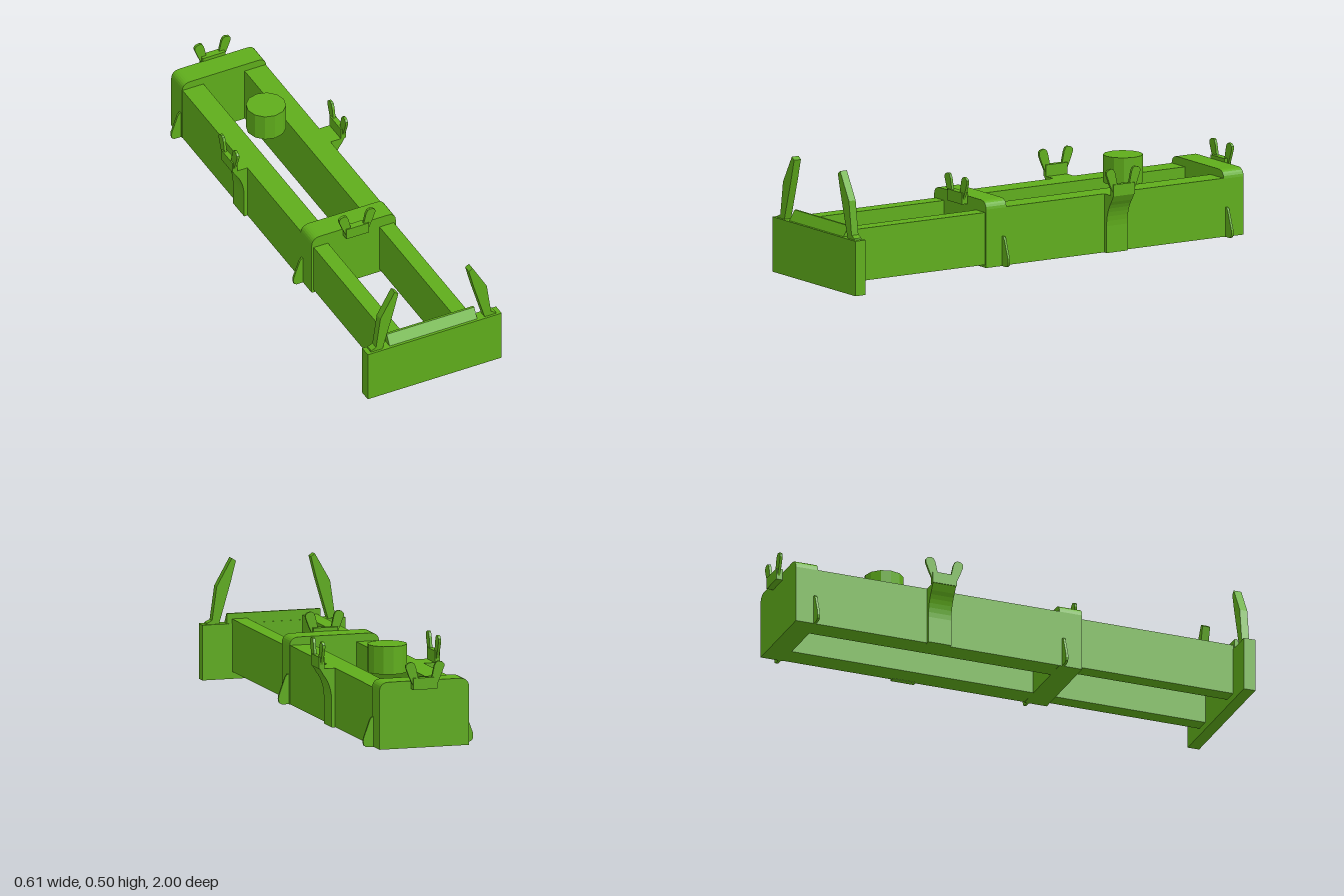
import * as THREE from 'three';

const material = new THREE.MeshStandardMaterial({ color: 0x5fad1b, flatShading: true });

function add(parent, name, geometry) {
  const mesh = new THREE.Mesh(geometry, material);
  mesh.name = name;
  parent.add(mesh);
  return mesh;
}

// Box given by its min and max on each axis
function block(parent, name, x0, x1, y0, y1, z0, z1) {
  const g = new THREE.BoxGeometry(x1 - x0, y1 - y0, z1 - z0);
  g.translate((x0 + x1) / 2, (y0 + y1) / 2, (z0 + z1) / 2);
  return add(parent, name, g);
}

// Outline in the x-y plane, extruded from z0 to z1
function slab(parent, name, shape, z0, z1) {
  const g = new THREE.ExtrudeGeometry(shape, { depth: z1 - z0, bevelEnabled: false, curveSegments: 6 });
  g.translate(0, 0, z0);
  return add(parent, name, g);
}

// Outline from points, optionally mirrored in x
function outline(points, side = 1) {
  return new THREE.Shape(points.map(([x, y]) => new THREE.Vector2(x * side, y)));
}

// Mounting block with two splayed prongs, facing +z
function fork(name, depth) {
  const group = new THREE.Group();
  group.name = name;
  block(group, 'forkBlock', -0.052, 0.052, 0.262, 0.31, 0, depth);
  const prong = [[0.022, 0.275], [0.05, 0.275], [0.068, 0.315], [0.082, 0.352], [0.082, 0.363],
    [0.074, 0.372], [0.058, 0.376], [0.047, 0.371], [0.04, 0.357]];
  for (const s of [-1, 1]) slab(group, 'prong', outline(prong, s), depth - 0.016, depth - 0.005);
  return group;
}

export function createModel() {
  const model = new THREE.Group();
  model.name = 'liftingFrame';

  // Front end plate with a sloping top ridge
  block(model, 'endPlate', -0.306, 0.306, 0, 0.228, 0.95, 1);
  const ridge = slab(model, 'sloping ridge',
    outline([[-0.99, 0.225], [-0.952, 0.225], [-0.952, 0.27], [-0.962, 0.27]]), -0.2, 0.2);
  ridge.rotation.y = Math.PI / 2;

  // Guide arms leaning inward above the end plate
  const arm = [[0.235, 0.222], [0.288, 0.222], [0.285, 0.234], [0.263, 0.244], [0.243, 0.383],
    [0.178, 0.497], [0.161, 0.485], [0.183, 0.4]];
  for (const s of [-1, 1]) slab(model, 'guideArm', outline(arm, s), 0.957, 0.99);

  const body = new THREE.Group();
  body.name = 'body';
  body.position.x = -0.004;
  model.add(body);

  // Long beams
  for (const s of [-1, 1]) {
    const beam = (name, a, b, y0, y1, z0, z1) =>
      block(body, name, Math.min(a * s, b * s), Math.max(a * s, b * s), y0, y1, z0, z1);
    beam('mainBeam', 0.094, 0.19, 0.019, 0.262, -0.9, 0.21);
    beam('frontBeam', 0.118, 0.183, 0.03, 0.247, 0.27, 0.96);
  }

  // Cross heads with rounded upper edges
  const head = new THREE.Shape();
  head.moveTo(-0.192, 0.018);
  head.lineTo(0.192, 0.018);
  head.lineTo(0.192, 0.26);
  head.quadraticCurveTo(0.19, 0.295, 0.152, 0.295);
  head.lineTo(-0.152, 0.295);
  head.quadraticCurveTo(-0.19, 0.295, -0.192, 0.26);
  slab(body, 'middleCrossHead', head, 0.185, 0.284);
  slab(body, 'rearCrossHead', head, -0.972, -0.875);

  // Forks on the outer faces of the cross heads
  const frontFork = fork('frontFork', 0.03);
  frontFork.position.set(0.004, 0, 0.283);
  const rearFork = fork('rearFork', 0.03);
  rearFork.position.set(0.004, 0, -0.97);
  rearFork.rotation.y = Math.PI;
  body.add(frontFork, rearFork);

  const fin = [[0.185, 0.018], [0.222, 0.018], [0.233, 0.025], [0.236, 0.04], [0.234, 0.055],
    [0.207, 0.13], [0.2, 0.14], [0.185, 0.143]];
  for (const s of [-1, 1]) {
    // Side fins low on each cross head
    for (const z of [0.201, -0.889]) slab(body, 'sideFin', outline(fin, s), z - 0.005, z + 0.005);

    // Flared side brackets carrying a fork
    const bracket = new THREE.Shape();
    bracket.moveTo(0.18 * s, 0.018);
    bracket.lineTo(0.205 * s, 0.018);
    bracket.lineTo(0.205 * s, 0.13);
    bracket.quadraticCurveTo(0.207 * s, 0.195, 0.24 * s, 0.235);
    bracket.lineTo(0.256 * s, 0.262);
    bracket.lineTo(0.18 * s, 0.262);
    slab(body, 'sideBracket', bracket, -0.396, -0.295);
    const sideFork = fork('sideFork', 0.022);
    sideFork.position.set(0.237 * s, 0, -0.345);
    sideFork.rotation.y = s * Math.PI / 2;
    body.add(sideFork);
  }

  // Round drum sitting level with the beam tops
  const drum = new THREE.CylinderGeometry(0.082, 0.082, 0.115, 12);
  drum.translate(0.004, 0.3145, -0.508);
  add(body, 'drum', drum);

  return model;
}
